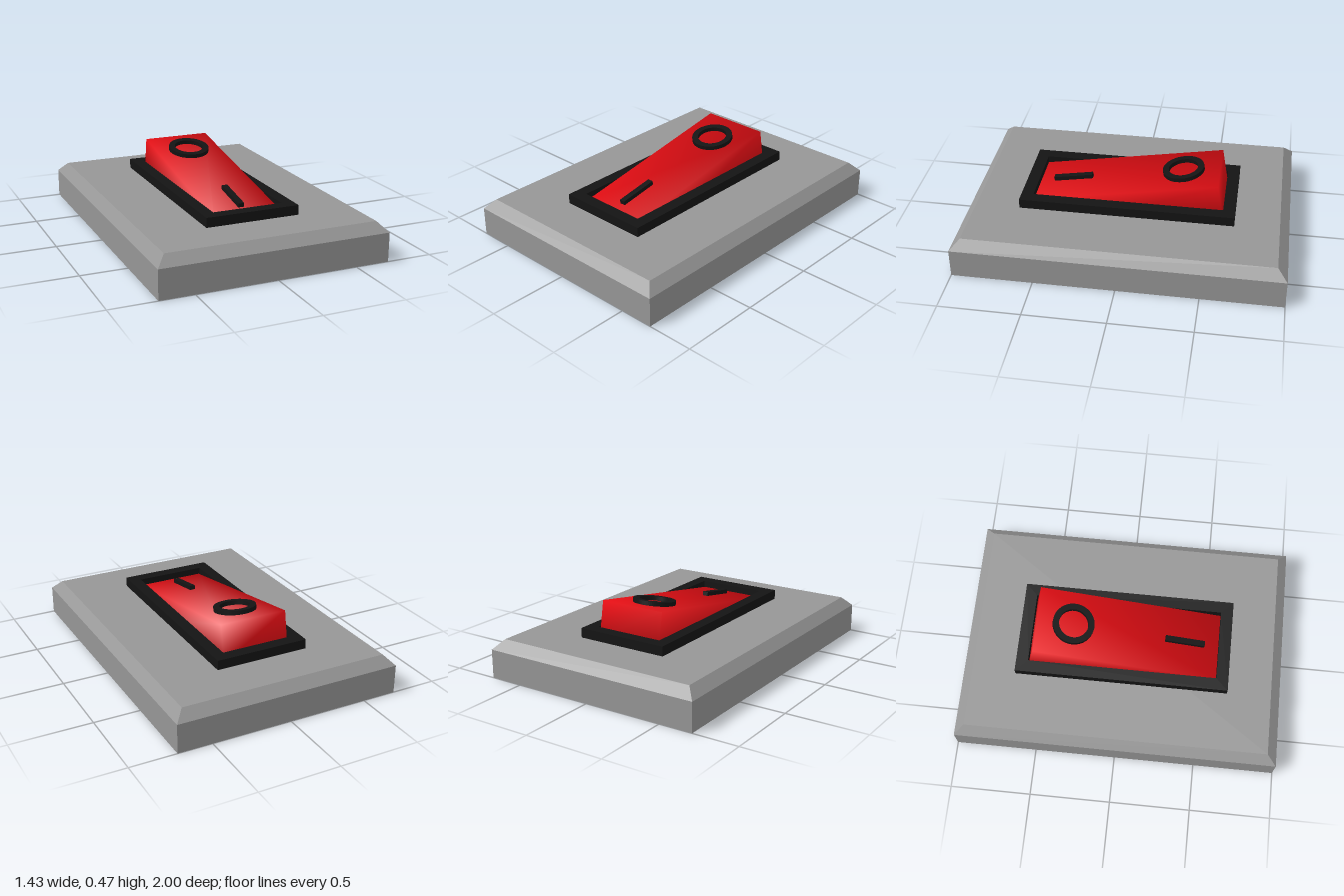
import * as THREE from 'three';

const grey = new THREE.MeshStandardMaterial({ color: 0x969696 });
const black = new THREE.MeshStandardMaterial({ color: 0x141414 });
const red = new THREE.MeshStandardMaterial({ color: 0xe60e14 });

function addMesh(parent, name, geometry, material, x = 0, y = 0, z = 0) {
  const mesh = new THREE.Mesh(geometry, material);
  mesh.name = name;
  mesh.position.set(x, y, z);
  parent.add(mesh);
  return mesh;
}

// Extrudes a shape drawn in plan upwards from y = 0.
function extrudeUp(shape, depth, curveSegments = 12) {
  return new THREE.ExtrudeGeometry(shape, { depth, bevelEnabled: false, curveSegments })
    .rotateX(-Math.PI / 2);
}

function rectangle(target, halfX, halfZ) {
  target.moveTo(-halfX, -halfZ).lineTo(halfX, -halfZ).lineTo(halfX, halfZ).lineTo(-halfX, halfZ);
  target.closePath();
  return target;
}

// Slab with a chamfered upper rim: a two-tier box whose top tier is drawn in.
function wallPlateGeometry() {
  const geometry = new THREE.BoxGeometry(1.426, 2, 2, 1, 2, 1);
  const p = geometry.attributes.position;
  for (let i = 0; i < p.count; i++) {
    const tier = Math.round(p.getY(i)) + 1;
    p.setY(i, [0, 0.18, 0.24][tier]);
    if (tier === 2) {
      p.setX(i, Math.sign(p.getX(i)) * 0.656);
      p.setZ(i, Math.sign(p.getZ(i)) * 0.94);
    }
  }
  const flat = geometry.toNonIndexed();
  flat.computeVertexNormals();
  return flat;
}

// Box whose corner normals point diagonally outwards, so shading runs softly over the edges.
function softBox(width, height, depth) {
  const box = new THREE.BoxGeometry(width, height, depth);
  const { position, normal } = box.attributes;
  const corner = new THREE.Vector3();
  for (let i = 0; i < position.count; i++) {
    corner.fromBufferAttribute(position, i);
    corner.set(Math.sign(corner.x), Math.sign(corner.y), Math.sign(corner.z)).normalize();
    normal.setXYZ(i, corner.x, corner.y, corner.z);
  }
  return box;
}

export function createModel() {
  const model = new THREE.Group();
  model.name = 'rockerSwitch';

  addMesh(model, 'wallPlate', wallPlateGeometry(), grey);

  // Raised surround with an opening for the rocker
  const surround = rectangle(new THREE.Shape(), 0.294, 0.665);
  surround.holes.push(rectangle(new THREE.Path(), 0.22, 0.59));
  addMesh(model, 'surround', extrudeUp(surround, 0.06), black, 0, 0.24, 0);

  // Tilted rocker carrying its two raised marks
  const rocker = new THREE.Group();
  rocker.name = 'rocker';
  rocker.position.y = 0.245;
  rocker.rotation.x = THREE.MathUtils.degToRad(10);
  model.add(rocker);

  const thickness = 0.23;
  const markHeight = 0.026;
  addMesh(rocker, 'rockerBody', softBox(0.428, thickness, 1.16), red);

  const ring = new THREE.Shape().absarc(0, 0, 0.13, 0, Math.PI * 2);
  ring.holes.push(new THREE.Path().absarc(0, 0, 0.092, 0, Math.PI * 2, true));
  addMesh(rocker, 'offRing', extrudeUp(ring, markHeight, 32), black, 0, thickness / 2, -0.35);

  addMesh(rocker, 'onBar', new THREE.BoxGeometry(0.036, markHeight, 0.25), black,
    0, (thickness + markHeight) / 2, 0.36);

  return model;
}
